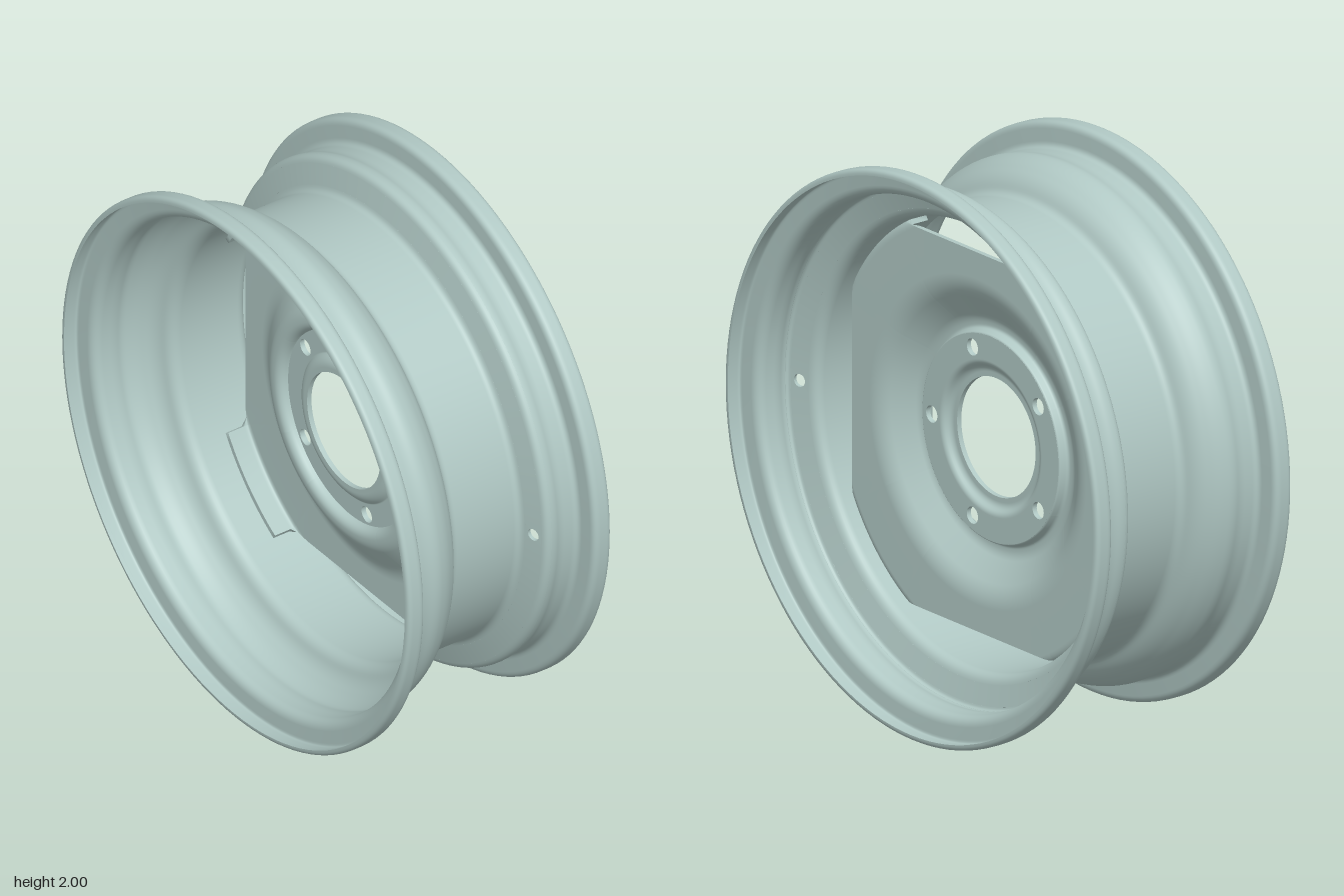
import * as THREE from 'three';
import { mergeGeometries } from 'three/addons/utils/BufferGeometryUtils.js';

const V2 = (r, z) => new THREE.Vector2(r, z);

// Polyline of [radius, z, corner trim] with softened corners
function softPath(corners, steps = 7) {
  const out = [];
  corners.forEach(([r, z, trim], i) => {
    const p = V2(r, z);
    if (!trim || i === 0 || i === corners.length - 1) return out.push(p);
    const a = V2(...corners[i - 1]).sub(p).setLength(trim).add(p);
    const b = V2(...corners[i + 1]).sub(p).setLength(trim).add(p);
    out.push(...new THREE.QuadraticBezierCurve(a, p, b).getPoints(steps));
  });
  return out;
}

// The other face of a sheet of thickness t
function offset(path, t) {
  return path.map((p, i) => {
    const d = path[Math.min(i + 1, path.length - 1)].clone().sub(path[Math.max(i - 1, 0)]).normalize();
    return V2(p.x - d.y * t, p.y + d.x * t);
  });
}

// Sheet metal spun round the z axis
function spin(path, t, start = 0, length = Math.PI * 2) {
  const inner = offset(path, t), n = path.length - 1;
  const strips = [path, [path[n], inner[n]], [...inner].reverse(), [inner[0], path[0]]];
  const g = mergeGeometries(strips.map(s => new THREE.LatheGeometry(s, 128, start, length)));
  return g.rotateX(Math.PI / 2);
}

// Spun sheet trimmed to a square, leaving bent lips at its four corners
function trimmedDisc(path, t, half) {
  const inner = offset(path, t), n = path.length - 1;
  const limit = Math.acos(half / path[n].x);
  const columns = [];
  for (let k = 0; k < 4; k++) {
    const q = k * Math.PI / 2;
    const spans = [[-limit, limit, false, 32], [limit, Math.PI / 2 - limit, true, 16]];
    for (const [from, to, full, steps] of spans)
      for (let i = 0; i <= steps; i++) {
        const a = from + (to - from) * i / steps;
        columns.push({ angle: a + q, cut: full ? Infinity : half / Math.cos(a) - 1e-5 });
      }
  }
  columns.push(columns[0]);
  const clip = (cut) => {
    const j = path.findIndex(p => p.x > cut);
    if (j < 0) return [path, inner];
    const f = (cut - path[j - 1].x) / (path[j].x - path[j - 1].x);
    return [path, inner].map(s => {
      const end = s[j - 1].clone().lerp(s[j], f);
      return s.map((p, i) => (i < j ? p : end));
    });
  };
  const parts = [[], [], []];
  for (const { angle, cut } of columns) {
    const [o, i] = clip(cut);
    [o, [o[n], i[n]], [...i].reverse()].forEach((strip, s) => {
      for (const p of strip) parts[s].push(p.x * Math.cos(angle), p.x * Math.sin(angle), p.y);
    });
  }
  return mergeGeometries(parts.map(pos => {
    const m = pos.length / 3 / columns.length, index = [];
    for (let c = 0; c < columns.length - 1; c++)
      for (let r = 0; r < m - 1; r++) {
        const a = c * m + r, b = a + m;
        index.push(a, b, a + 1, b, b + 1, a + 1);
      }
    const g = new THREE.BufferGeometry();
    g.setAttribute('position', new THREE.Float32BufferAttribute(pos, 3));
    g.setIndex(index);
    g.computeVertexNormals();
    return g;
  }));
}

function circleHole(x, y, r) {
  return new THREE.Path().absarc(x, y, r, 0, Math.PI * 2, true);
}

export function createModel() {
  const group = new THREE.Group();
  const steel = new THREE.MeshStandardMaterial({ color: 0xb0c8c4 });
  steel.name = 'pale grey green steel';
  const add = (name, geometry) => {
    const mesh = new THREE.Mesh(geometry, steel);
    mesh.name = name;
    mesh.position.y = 1;
    group.add(mesh);
  };

  // Rim, in two spun sections either side of the cone that holds the valve hole
  const gauge = 0.014;
  const low = V2(0.80, -0.181), high = V2(0.915, -0.212);
  const coneIn = low.clone().lerp(high, 0.2), coneOut = low.clone().lerp(high, 0.82);
  const rear = softPath([
    [0.978, -0.42], [1, -0.42, 0.02], [1, -0.35, 0.025], [0.91, -0.343, 0.022],
    [0.908, -0.275, 0.015], [0.919, -0.245, 0.015], [high.x, high.y, 0.02], [coneOut.x, coneOut.y],
  ]);
  const front = softPath([
    [coneIn.x, coneIn.y], [low.x, low.y, 0.022], [0.80, 0.10, 0.025], [0.86, 0.128, 0.032],
    [0.902, 0.185, 0.025], [0.918, 0.235, 0.02], [0.908, 0.275, 0.015], [0.91, 0.343, 0.022],
    [1, 0.35, 0.025], [1, 0.42, 0.02], [0.978, 0.42],
  ]);
  add('rimRear', spin(rear, gauge));
  add('rimFront', spin(front, gauge));
  const sweep = 0.045;
  add('rimCone', spin([coneOut, coneIn], gauge, Math.PI / 2 + sweep, Math.PI * 2 - 2 * sweep));

  // Small patch of the cone pierced by the valve hole
  const along = coneIn.clone().sub(coneOut), len = along.length(), mid = coneIn.clone().add(coneOut).multiplyScalar(0.5);
  along.normalize();
  const w = sweep * mid.x;
  const square = new THREE.Shape([V2(-w, -len / 2), V2(w, -len / 2), V2(w, len / 2), V2(-w, len / 2)]);
  square.holes.push(circleHole(0, 0, 0.023));
  const patch = new THREE.ExtrudeGeometry(square, { depth: gauge, bevelEnabled: false, curveSegments: 16 });
  const pos = patch.attributes.position;
  for (let i = 0; i < pos.count; i++) {
    const a = pos.getX(i) / mid.x, v = pos.getY(i), d = gauge - pos.getZ(i);
    const r = mid.x + along.x * v - along.y * d, z = mid.y + along.y * v + along.x * d;
    pos.setXYZ(i, r * Math.cos(a), r * Math.sin(a), z);
  }
  patch.computeVertexNormals();
  add('valveHolePatch', patch);

  // Pressed disc with a domed ring and corner lips that meet the rim
  const sheet = 0.018;
  add('wheelDisc', trimmedDisc(softPath([
    [0.36, -0.075], [0.368, -0.075, 0.007], [0.376, -0.042, 0.011], [0.41, -0.042, 0.02],
    [0.535, -0.13, 0.045], [0.785, -0.13, 0.035], [0.785, -0.03],
  ]), sheet, 0.675));

  // Flat bolt face with five holes
  const face = new THREE.Shape().absarc(0, 0, 0.364, 0, Math.PI * 2, false);
  face.holes.push(circleHole(0, 0, 0.274));
  for (let i = 0; i < 5; i++) {
    const a = i * Math.PI * 2 / 5;
    face.holes.push(circleHole(0.315 * Math.cos(a), 0.315 * Math.sin(a), 0.03));
  }
  const bolts = new THREE.ExtrudeGeometry(face, { depth: sheet, bevelEnabled: false, curveSegments: 48 });
  add('boltFace', bolts.translate(0, 0, -0.075));

  // Raised collar round the centre bore
  add('hubCollar', spin(softPath([
    [0.21, -0.05], [0.24, -0.05, 0.014], [0.262, -0.075, 0.012], [0.28, -0.075],
  ]), sheet));

  return group;
}
